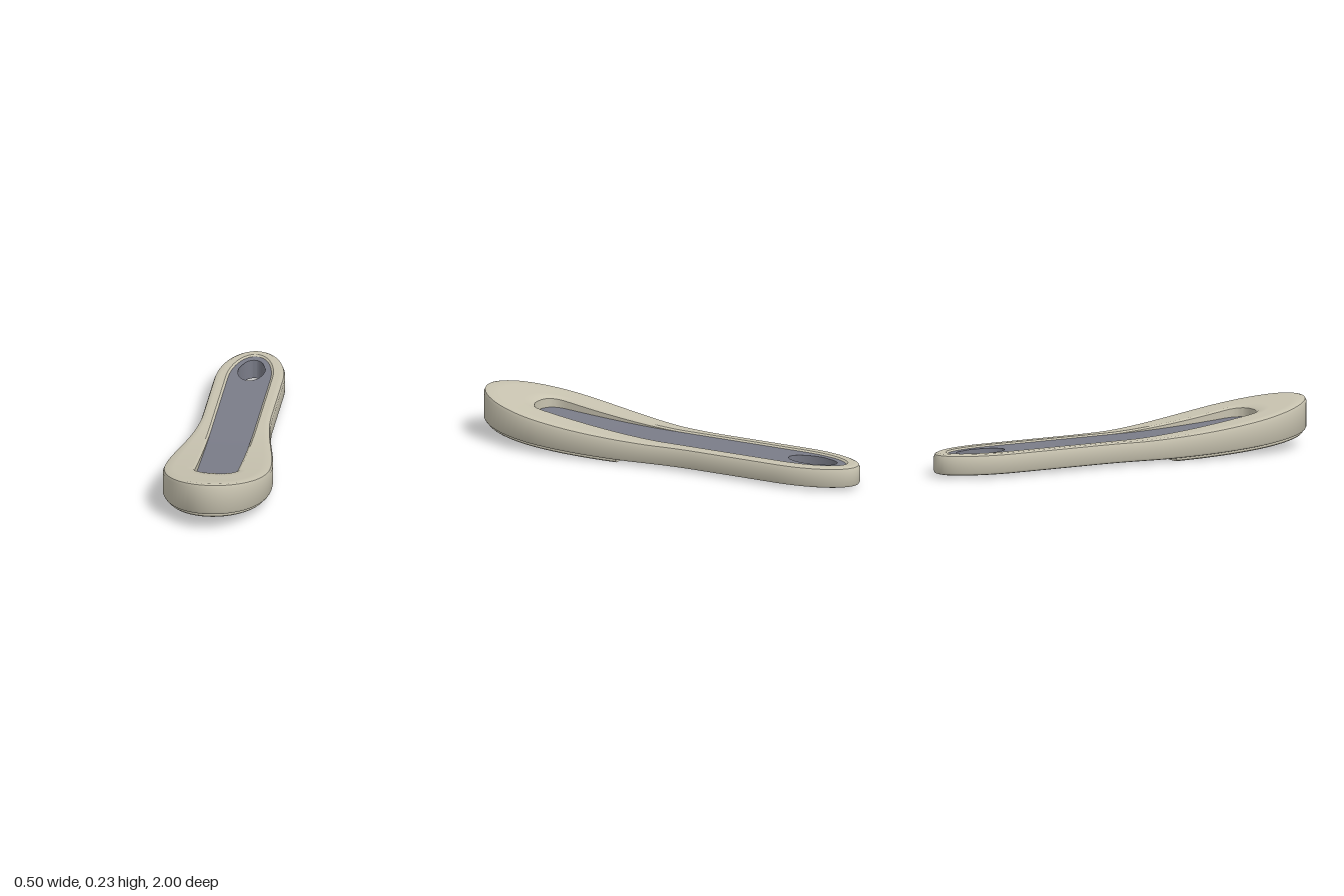
import * as THREE from 'three';
import { toCreasedNormals } from 'three/addons/utils/BufferGeometryUtils.js';

const ARC = 16, SIDE = 40;

// Height rules along the handle: the front end sweeps upward
const rise = (z, start, power) => Math.pow(Math.max(0, (z - start) / (1 - start)), power);
const topY = z => 0.113 + 0.124 * rise(z, 0, 1.6);
const bottomY = z => 0.015 + 0.067 * rise(z, 0.1, 1.6);
const insertTopY = z => 0.106 + 0.055 * rise(z, 0.1, 1.6);

// Half width of the body in plan
const bodyWidth = z => 0.165 + 0.087 * THREE.MathUtils.smoothstep(z, -0.2, 0.6);

// Right half of a plan outline: rounded back, side, rounded front; points are [x, z]
function half(zb, rb, zf, rf, width, p = 1) {
  const pts = [];
  for (let i = 0; i < ARC; i++) {
    const a = (i / ARC) * Math.PI / 2;
    pts.push([width(zb) * Math.sin(a), zb - rb * Math.cos(a)]);
  }
  for (let i = 0; i < SIDE; i++) {
    const z = zb + (zf - zb) * i / SIDE;
    pts.push([width(z), z]);
  }
  for (let i = 0; i <= ARC; i++) {
    const a = (i / ARC) * Math.PI / 2;
    const c = i === ARC ? 0 : Math.cos(a);
    pts.push([width(zf) * Math.pow(c, p), zf + rf * Math.pow(Math.sin(a), p)]);
  }
  return pts;
}

// Full closed outline, or an open U when the back arc is dropped
function mirrored(pts, open = false) {
  const right = open ? pts.slice(ARC) : pts;
  const left = right.slice(open ? 0 : 1, -1).reverse().map(([x, z]) => [-x, z]);
  return right.concat(left);
}

// Solid from a row of matching cross-sections, looped or capped at both ends
function loft(sections, closed) {
  const n = sections.length, m = sections[0].length, index = [];
  const pos = sections.flat(2);
  for (let i = 0; i < (closed ? n : n - 1); i++) {
    for (let j = 0; j < m; j++) {
      const a = i * m + j, b = i * m + (j + 1) % m;
      const c = ((i + 1) % n) * m + j, d = ((i + 1) % n) * m + (j + 1) % m;
      index.push(a, c, b, b, c, d);
    }
  }
  if (!closed) {
    const e = (n - 1) * m;
    for (let j = 1; j < m - 1; j++) index.push(0, j, j + 1, e, e + j + 1, e + j);
  }
  // Turn faces outward when the enclosed volume comes out negative
  const v = k => new THREE.Vector3().fromArray(pos, k * 3);
  let volume = 0;
  for (let k = 0; k < index.length; k += 3) {
    volume += v(index[k]).dot(v(index[k + 1]).cross(v(index[k + 2])));
  }
  if (volume < 0) index.reverse();
  const geo = new THREE.BufferGeometry();
  geo.setAttribute('position', new THREE.Float32BufferAttribute(pos, 3));
  geo.setIndex(index);
  return toCreasedNormals(geo, 0.6);
}

const mix = (a, b, t) => [a[0] + (b[0] - a[0]) * t, a[1] + (b[1] - a[1]) * t];
const at = (p, rule, dy = 0) => [p[0], rule(p[1]) + dy, p[1]];

function bodyGeometry() {
  const outer = d => mirrored(half(-0.65, 0.35 - d, 0.6, 0.4 - d, z => bodyWidth(z) - d));
  const inner = d => mirrored(half(-0.65, 0.28 + d, 0.63, 0.1 + d, () => 0.1 + d, 0.8));
  const o0 = outer(0), o1 = outer(0.006), o2 = outer(0.02);
  const i0 = inner(0), i1 = inner(0.01);
  const steps = [0.25, 0.5, 0.75];
  return loft(o0.map((p, i) => [
    at(o2[i], bottomY), at(o1[i], bottomY, 0.004), at(p, bottomY, 0.014),
    at(p, topY, -0.02), at(o1[i], topY, -0.006), at(o2[i], topY),
    ...steps.map(t => at(mix(o2[i], i1[i], t), topY)),
    at(i1[i], topY), at(i0[i], topY, -0.007), at(i0[i], bottomY),
    ...steps.map(t => at(mix(i0[i], o2[i], t), bottomY)),
  ]), true);
}

// Back of the insert, pierced by the oval hanging hole
function insertBackGeometry() {
  const rim = mirrored(half(-0.65, 0.28, -0.55, 0, () => 0.1));
  return loft(rim.map((p, i) => {
    const a = (i / rim.length) * Math.PI * 2;
    const h = [0.063 * Math.sin(a), -0.757 - 0.127 * Math.cos(a)];
    return [at(p, bottomY, 0.001), at(p, insertTopY), at(h, insertTopY), at(h, bottomY, 0.001)];
  }), true);
}

// Long front of the insert
function insertFrontGeometry() {
  return loft(half(-0.55, 0, 0.63, 0.1, () => 0.1, 0.8).map(([x, z]) => [
    at([-x, z], bottomY, 0.001), at([x, z], bottomY, 0.001),
    at([x, z], insertTopY), at([-x, z], insertTopY),
  ]), false);
}

// Raised strip under the insert
function insertPadGeometry() {
  return loft(half(0.2, 0, 0.62, 0.08, () => 0.08, 0.8).map(([x, z]) => [
    at([-x, z], bottomY, 0.01), at([-x, z], bottomY, -0.011), at([-x * 0.95, z], bottomY, -0.014),
    at([x * 0.95, z], bottomY, -0.014), at([x, z], bottomY, -0.011), at([x, z], bottomY, 0.01),
  ]), false);
}

// Raised U-shaped pad under the wide end of the body
function solePadGeometry() {
  const outer = d => mirrored(half(0.2, 0, 0.6, 0.4 - d, z => bodyWidth(z) - d), true);
  const o = outer(0.018), o2 = outer(0.024);
  const inner = mirrored(half(0.2, 0, 0.64, 0.11, () => 0.12, 0.8), true);
  return loft(o.map((p, i) => [
    at(p, bottomY, 0.01), at(p, bottomY, -0.009), at(o2[i], bottomY, -0.014),
    at(mix(o2[i], inner[i], 0.33), bottomY, -0.014), at(mix(o2[i], inner[i], 0.67), bottomY, -0.014),
    at(inner[i], bottomY, -0.014), at(inner[i], bottomY, 0.01),
  ]), false);
}

export function createModel() {
  const shell = new THREE.MeshStandardMaterial({ color: 0xc8c3b0 });
  shell.name = 'warm beige';
  const core = new THREE.MeshStandardMaterial({ color: 0x7a7c88 });
  core.name = 'slate grey';

  const group = new THREE.Group();
  group.name = 'handle';
  const add = (name, geometry, material) => {
    const mesh = new THREE.Mesh(geometry, material);
    mesh.name = name;
    group.add(mesh);
  };
  add('body', bodyGeometry(), shell);
  add('solePad', solePadGeometry(), shell);
  add('insertBack', insertBackGeometry(), core);
  add('insertFront', insertFrontGeometry(), core);
  add('insertPad', insertPadGeometry(), core);
  return group;
}
